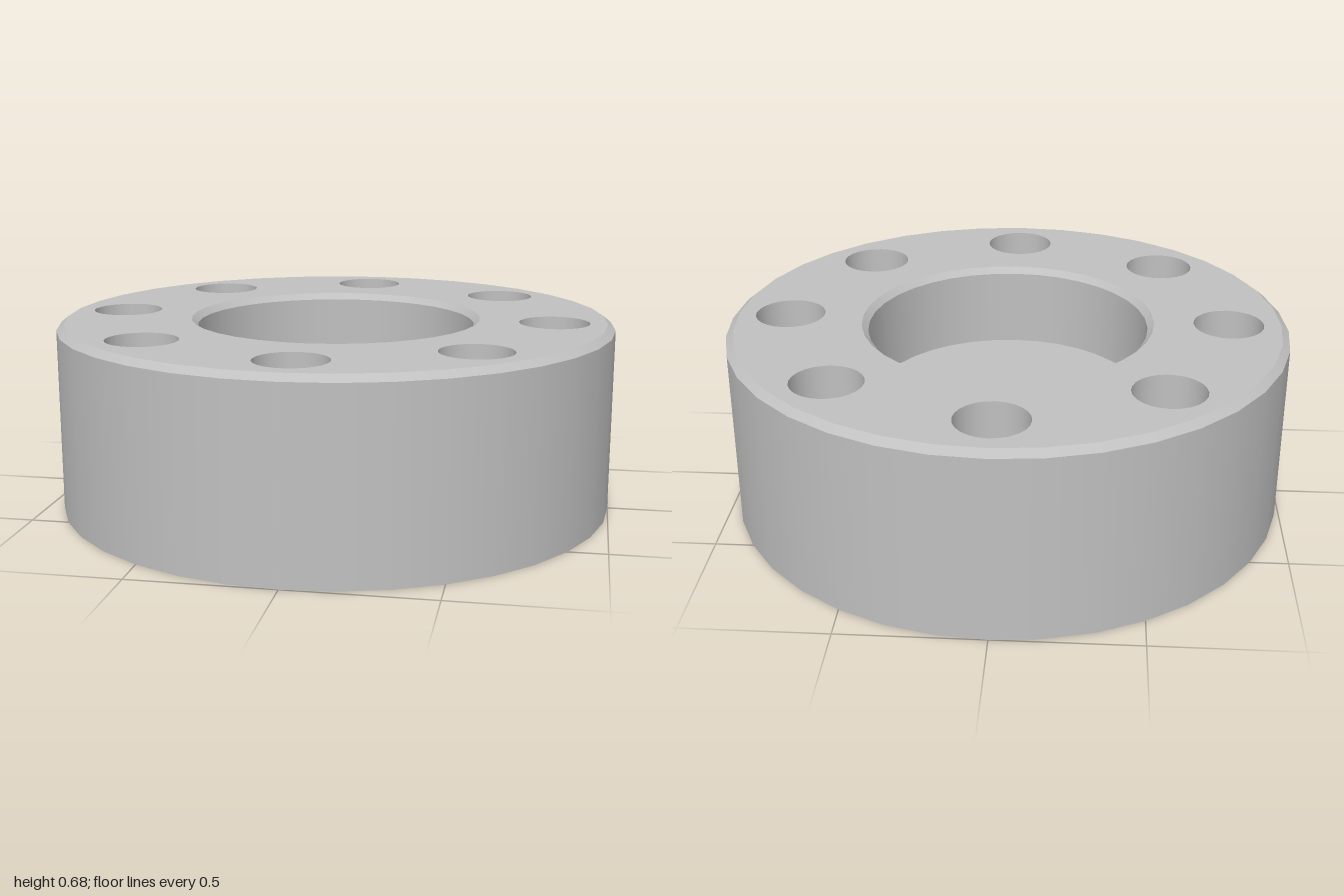
import * as THREE from 'three';

const HEIGHT = 0.675, CHAMFER = 0.022, SEGMENTS = 36;
const BORE_FLOOR = 0.37, HOLE_RADIUS = 0.125, HOLE_CIRCLE = 0.787;

export function createModel() {
  const model = new THREE.Group();
  const steel = new THREE.MeshStandardMaterial({ color: 0xc0c0c0 });

  // One smooth band of revolution; separate bands keep the edges between them sharp
  const band = (name, r1, y1, r2, y2, segments = SEGMENTS) => {
    const profile = [new THREE.Vector2(r1, y1), new THREE.Vector2(r2, y2)];
    const mesh = new THREE.Mesh(new THREE.LatheGeometry(profile, segments), steel);
    mesh.name = name;
    return mesh;
  };

  // Circle outline matching the lathe's corners
  const circle = (radius, segments, cx = 0, cy = 0) =>
    Array.from({ length: segments }, (_, i) => {
      const a = (i / segments) * Math.PI * 2;
      return new THREE.Vector2(cx + Math.cos(a) * radius, cy + Math.sin(a) * radius);
    });

  // Disc body, chamfered rims and blind centre bore
  model.add(
    band('underside', 0, 0, 1, 0),
    band('outerWall', 1, 0, 1, HEIGHT - CHAMFER),
    band('outerChamfer', 1, HEIGHT - CHAMFER, 0.973, HEIGHT),
    band('boreChamfer', 0.522, HEIGHT, 0.5, HEIGHT - CHAMFER),
    band('boreWall', 0.5, HEIGHT - CHAMFER, 0.5, BORE_FLOOR),
    band('boreFloor', 0.5, BORE_FLOOR, 0, BORE_FLOOR)
  );

  // Top face, pierced by the bore and the ring of eight holes
  const face = new THREE.Shape(circle(0.973, SEGMENTS));
  face.holes.push(new THREE.Path(circle(0.522, SEGMENTS)));

  for (let i = 0; i < 8; i++) {
    const a = (i / 8) * Math.PI * 2;
    const x = Math.cos(a) * HOLE_CIRCLE, z = Math.sin(a) * HOLE_CIRCLE;
    face.holes.push(new THREE.Path(circle(HOLE_RADIUS, 24, x, -z)));

    // Drilled blind hole with a conical tip
    const hole = new THREE.Group();
    hole.name = 'drilledHole' + (i + 1);
    hole.position.set(x, 0, z);
    hole.add(
      band('holeWall', HOLE_RADIUS, HEIGHT, HOLE_RADIUS, 0.37, 24),
      band('holeTip', HOLE_RADIUS, 0.37, 0, 0.295, 24)
    );
    model.add(hole);
  }

  const top = new THREE.Mesh(new THREE.ShapeGeometry(face), steel);
  top.name = 'topFace';
  top.rotation.x = -Math.PI / 2;
  top.position.y = HEIGHT;
  model.add(top);

  return model;
}
